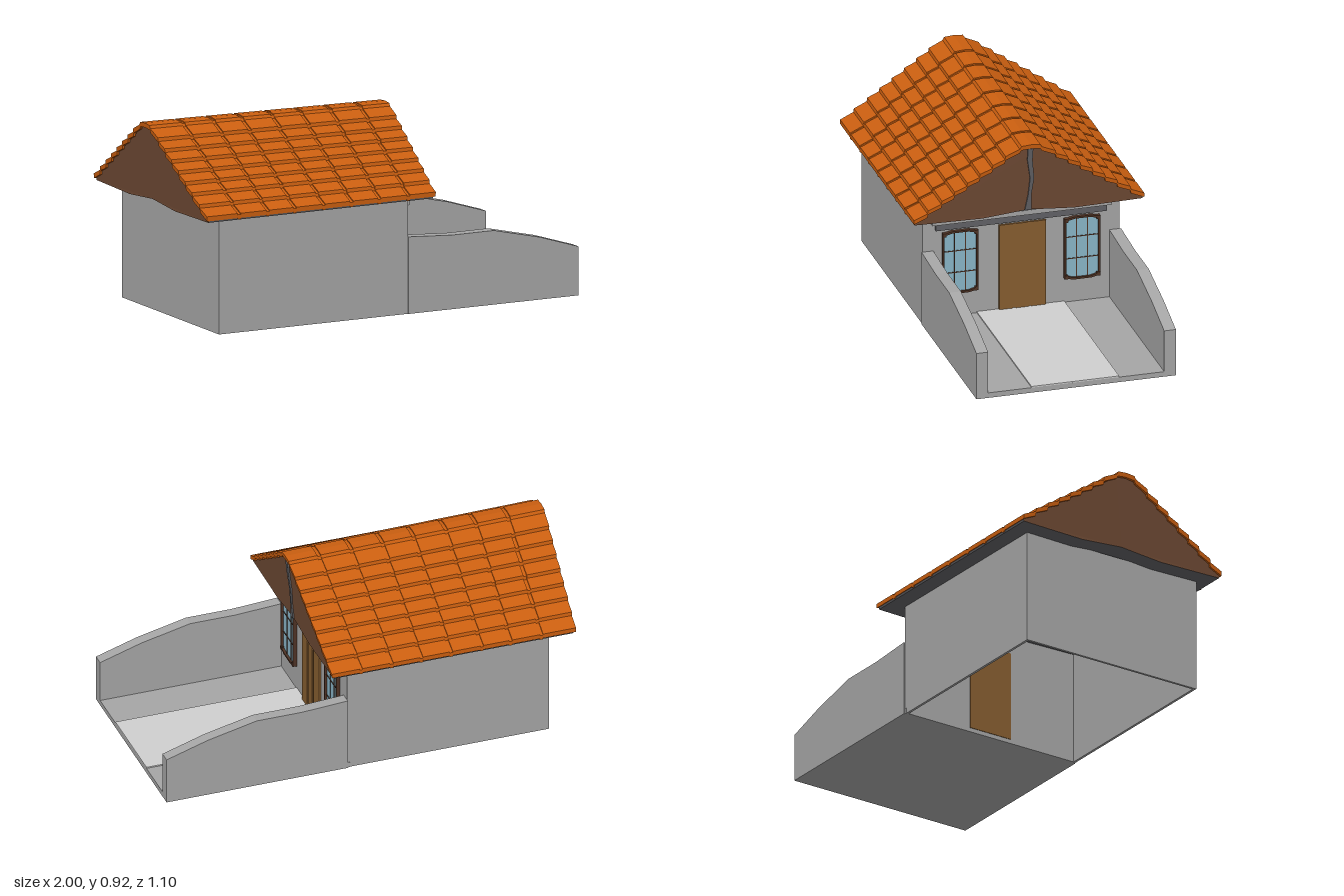
import * as THREE from 'three';
import { mergeGeometries } from 'three/addons/utils/BufferGeometryUtils.js';

const mat = (name, color) => {
  const m = new THREE.MeshStandardMaterial({ color });
  m.name = name;
  return m;
};

export function createModel() {
  const group = new THREE.Group();
  const plaster = mat('plaster grey', 0xa6a6a6);
  const path = mat('path light grey', 0xd0d0d0);
  const beam = mat('beam dark grey', 0x626266);
  const tile = mat('tile orange', 0xcb5f10);
  const gable = mat('gable brown', 0x704b35);
  const wood = mat('door wood', 0x875e30);
  const frame = mat('frame dark brown', 0x4f3325);
  const glass = mat('glass blue', 0x8ab6c9);

  const add = (name, geo, material, parent = group) => {
    const m = new THREE.Mesh(geo, material);
    m.name = name;
    parent.add(m);
    return m;
  };
  // Box given by its limits on each axis
  const box = (name, material, x0, x1, y0, y1, z0, z1, parent) => {
    const g = new THREE.BoxGeometry(x1 - x0, y1 - y0, z1 - z0);
    g.translate((x0 + x1) / 2, (y0 + y1) / 2, (z0 + z1) / 2);
    return add(name, g, material, parent);
  };
  const shapeOf = pts => new THREE.Shape(pts.map(p => new THREE.Vector2(p[0], p[1])));
  const extrude = (pts, depth) =>
    new THREE.ExtrudeGeometry(shapeOf(pts), { depth, bevelEnabled: false });

  // Sweep a (z, y) outline along x, then splay the gable ends and sag the ridge
  const alongX = (pts, x0, x1) => {
    const g = extrude(pts.map(([z, y]) => [-z, y]), x1 - x0);
    g.rotateY(Math.PI / 2);
    g.translate(x0, 0, 0);
    const p = g.attributes.position;
    for (let i = 0; i < p.count; i++) {
      const x = p.getX(i), y = p.getY(i), t = Math.max(0, (y - 0.56) / 0.35);
      p.setX(i, x + (x + 0.375) / 0.595 * 0.03 * t);
      p.setY(i, y - 0.018 * t * (x + 0.97) / 1.19);
    }
    g.computeVertexNormals();
    return g;
  };
  const mirrorOutline = half => [...half, ...half.slice().reverse()
    .filter(p => p[0] !== 0).map(([z, y]) => [-z, y])];

  // House walls, open underneath
  const B = -0.87, F = 0.115, L = 0.48, R = -0.465;
  box('leftWall', plaster, B, F, 0, 0.548, L - 0.012, L);
  box('rightWall', plaster, B, F, 0, 0.548, R, R + 0.012);
  box('backWall', plaster, B, B + 0.012, 0, 0.548, R + 0.012, L - 0.012);
  box('frontWall', plaster, F - 0.012, F, 0, 0.548, R + 0.012, L - 0.012);

  // Roof: stepped tile rows, columns parted by shallow grooves
  const slope = z => 0.908 - 0.68 * (z - 0.05);
  const rows = [0.05, 0.12, 0.18, 0.24, 0.3, 0.36, 0.42, 0.485, 0.552];
  const steps = [];
  for (let i = rows.length - 1; i > 0; i--) {
    steps.push([rows[i], slope(rows[i]) + 0.009]);
    steps.push([rows[i - 1] + 0.003, slope(rows[i - 1]) - 0.008]);
  }
  steps.push([0.045, 0.914], [0, 0.918]);
  const outer = mirrorOutline(steps);
  const inner = outer.map(([z, y]) => [z, y - 0.022]).reverse();
  const seams = [-0.81, -0.66, -0.52, -0.37, -0.225, -0.08, 0.07];
  const section = drop => [...outer, ...inner].map(([z, y]) => [z, y - drop]);
  const cells = [];
  let start = -0.97;
  for (const s of seams) {
    cells.push(alongX(section(0), start, s));
    cells.push(alongX(section(0.006), s, s + 0.016));
    start = s + 0.016;
  }
  cells.push(alongX(section(0), start, 0.22));
  add('roofTiles', mergeGeometries(cells), tile);

  // Attic: brown gable ends and a dark underside
  const attic = mirrorOutline([[0, 0.557], [0.22, 0.539], [0.545, 0.545],
    [0.548, slope(0.548) - 0.015], [0.05, 0.889], [0, 0.895]]);
  add('attic', alongX(attic, -0.96, 0.21), [gable, beam]);

  // Crooked post on the front gable
  add('gablePost', alongX([[0.019, 0.557], [0.005, 0.64], [-0.002, 0.73], [0.013, 0.83], [0.013, 0.893],
    [-0.013, 0.893], [-0.011, 0.83], [-0.021, 0.73], [-0.01, 0.64], [-0.012, 0.557]], 0.2, 0.217), beam);

  // Beam and ledge above the door
  box('ledge', plaster, F, 0.145, 0.5, 0.523, -0.42, 0.44);
  box('lintel', beam, F, 0.133, 0.467, 0.495, -0.4, 0.42);

  // Planked door
  const door = new THREE.Group();
  door.name = 'door';
  group.add(door);
  [[-0.11, -0.038, 0.126], [-0.038, -0.024, 0.122], [-0.024, 0.034, 0.127],
    [0.034, 0.05, 0.122], [0.05, 0.115, 0.126]].forEach(([a, b, x]) =>
    box('doorPlank', wood, 0.1, x, 0.02, 0.455, a, b, door));

  // Windows with slightly bowed frames, corner blocks and thin bars
  const bowed = (w, h) => [[-w, -h + 0.01], [-w / 2, -h], [w / 2, -h], [w, -h + 0.01],
    [w, h - 0.01], [w / 2, h], [-w / 2, h], [-w, h - 0.01]];
  const addWindow = (name, z) => {
    const win = new THREE.Group();
    win.name = name;
    win.position.set(F, 0.298, z);
    group.add(win);
    const s = shapeOf(bowed(0.085, 0.157));
    s.holes.push(new THREE.Path(bowed(0.077, 0.148).map(p => new THREE.Vector2(...p))));
    const ring = new THREE.ExtrudeGeometry(s, { depth: 0.018, bevelEnabled: false });
    add('windowFrame', ring.rotateY(Math.PI / 2), frame, win);
    add('windowGlass', extrude(bowed(0.079, 0.15), 0.006).rotateY(Math.PI / 2), glass, win);
    for (const k of [-1, 1]) {
      box('uprightBar', frame, 0, 0.009, -0.148, 0.148, k * 0.026 - 0.002, k * 0.026 + 0.002, win);
      box('crossBar', frame, 0, 0.009, k * 0.054 - 0.002, k * 0.054 + 0.002, -0.077, 0.077, win);
      for (const j of [-1, 1])
        box('cornerBlock', frame, 0, 0.02, k * 0.142 - 0.009, k * 0.142 + 0.009,
          j * 0.077 - 0.008, j * 0.077 + 0.008, win);
    }
  };
  addWindow('leftWindow', 0.302);
  addWindow('rightWindow', -0.282);

  // Yard floor and path
  box('yardFloor', plaster, 0.103, 1, 0, 0.025, -0.468, 0.48);
  box('path', path, F, 1, 0.025, 0.031, -0.2, 0.22);

  // Sloping yard walls
  const wall = [[F, 0], [1, 0], [1, 0.23], [0.8, 0.293], [0.56, 0.348], [0.34, 0.348], [F, 0.362]];
  for (const [name, z] of [['leftYardWall', 0.428], ['rightYardWall', -0.472]]) {
    const g = extrude(wall, 0.056);
    g.translate(0, 0, z);
    add(name, g, plaster);
  }
  return group;
}
